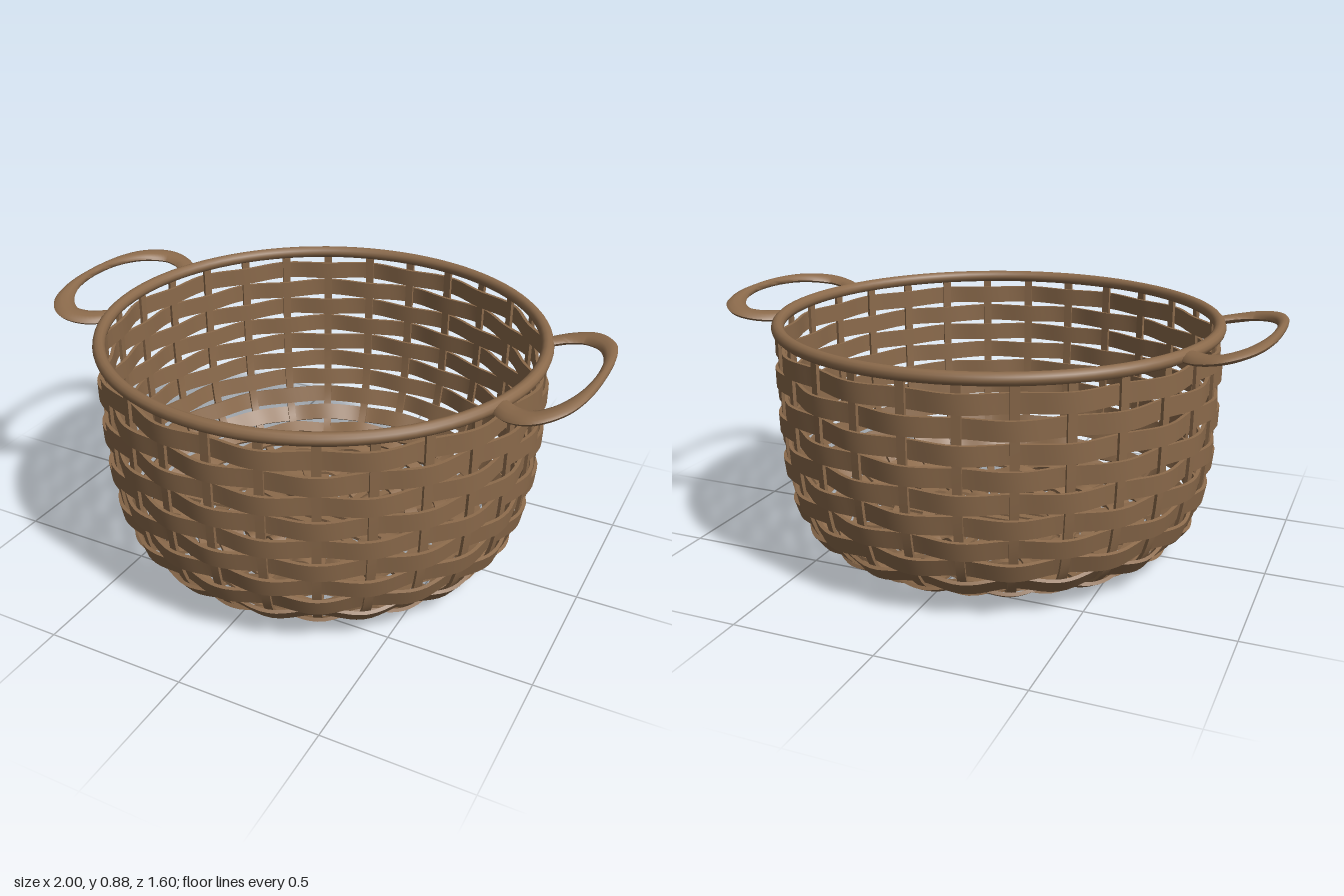
import * as THREE from 'three';
import { toCreasedNormals } from 'three/addons/utils/BufferGeometryUtils.js';

const STAKES = 28;
const STEP = (Math.PI * 2) / STAKES;
const V = (x, y, z) => new THREE.Vector3(x, y, z);

// cross-sections, in units of half width and half thickness
const FLAT = [[-1, -1], [1, -1], [1, 1], [-1, 1]];
const ROUND = Array.from({ length: 10 }, (_, i) => [Math.cos(i * Math.PI / 5), Math.sin(i * Math.PI / 5)]);

// sweeps a section along points; normals give the thickness direction
function sweep(points, normals, section, width, thick, closed) {
  const n = points.length, m = section.length, pos = [], idx = [];
  points.forEach((p, i) => {
    const a = points[closed ? (i + n - 1) % n : Math.max(i - 1, 0)];
    const b = points[closed ? (i + 1) % n : Math.min(i + 1, n - 1)];
    const t = b.clone().sub(a).normalize();
    const u = normals[i].clone().cross(t).normalize();
    const v = t.clone().cross(u);
    for (const [x, y] of section) {
      const q = p.clone().addScaledVector(u, x * width(p)).addScaledVector(v, y * thick);
      pos.push(q.x, q.y, q.z);
    }
  });
  for (let i = 0; i < (closed ? n : n - 1); i++) {
    for (let j = 0; j < m; j++) {
      const k = (j + 1) % m, r = i * m, s = ((i + 1) % n) * m;
      idx.push(r + j, r + k, s + k, r + j, s + k, s + j);
    }
  }
  if (!closed) {
    const e = (n - 1) * m;
    for (let j = 1; j < m - 1; j++) idx.push(0, j + 1, j, e, e + j, e + j + 1);
  }
  const g = new THREE.BufferGeometry();
  g.setAttribute('position', new THREE.Float32BufferAttribute(pos, 3));
  g.setIndex(idx);
  return toCreasedNormals(g, 0.9);
}

export function createModel() {
  const group = new THREE.Group();
  const wicker = new THREE.MeshStandardMaterial({ color: 0x8b6a4b });
  wicker.name = 'wicker brown';
  const add = (geometry, name) => {
    const mesh = new THREE.Mesh(geometry, wicker);
    mesh.name = name;
    group.add(mesh);
    return mesh;
  };

  // bowl profile: x is the radius
  const profile = new THREE.CatmullRomCurve3([
    [0.19, 0.018], [0.32, 0.02], [0.46, 0.027], [0.58, 0.042], [0.66, 0.08], [0.712, 0.14],
    [0.742, 0.22], [0.762, 0.33], [0.772, 0.48], [0.775, 0.65], [0.775, 0.82],
  ].map(([r, y]) => V(r, y, 0)));
  const length = profile.getLength();
  const around = (r, y, a) => V(r * Math.cos(a), y, r * Math.sin(a));

  // weavers: flat bands passing over and under the stakes, from the rim to the floor
  const segments = STAKES * 6;
  let row = 0;
  for (let s = length - 0.075; s > 0.015; row++) {
    const p = profile.getPointAt(s / length), t = profile.getTangentAt(s / length);
    const points = [], normals = [];
    for (let i = 0; i < segments; i++) {
      const a = (i / segments) * Math.PI * 2;
      const d = 0.012 * Math.cos(a * STAKES / 2 + row * Math.PI);
      points.push(around(p.x + d * t.y, p.y - d * t.x, a));
      normals.push(around(t.y, -t.x, a));
    }
    const half = row < 9 ? 0.0325 : 0.0245;
    add(sweep(points, normals, FLAT, () => half, 0.006, true), row < 9 ? 'wallWeaver' : 'floorWeaver');
    s -= row < 8 ? 0.0805 : row === 8 ? 0.071 : 0.061;
  }

  // stakes: two crossed sets of seven, bent up both sides to the rim
  for (const crosswise of [false, true]) {
    for (let j = -3; j <= 3; j++) {
      const layer = 0.018 + (crosswise ? -0.006 : 0.006);
      const half = [0.05, 0.1, 0.14].map((x) => [V(x, layer, j * 0.045), V(0, -1, 0)]);
      for (let i = 2; i <= 36; i++) {
        const p = profile.getPointAt(i / 36), t = profile.getTangentAt(i / 36);
        half.push([around(p.x, p.y, j * STEP), around(t.y, -t.x, j * STEP)]);
      }
      const mirrored = half.map((f) => f.map((v) => V(-v.x, v.y, v.z))).reverse();
      const path = [...mirrored, ...half].map((f) => f.map((v) => (crosswise ? V(v.z, v.y, v.x) : v)));
      add(sweep(path.map((f) => f[0]), path.map((f) => f[1]), FLAT, () => 0.015, 0.006, false), 'stake');
    }
  }

  // rim
  const rim = add(new THREE.TorusGeometry(0.776, 0.022, 12, 84), 'rim');
  rim.rotation.x = Math.PI / 2;
  rim.position.y = 0.822;

  // handles: upswept loops, broad at the ends and slim at the outside
  const bend = [[0.735, 0.822, 0.255], [0.795, 0.826, 0.306], [0.86, 0.836, 0.318],
    [0.925, 0.849, 0.265], [0.968, 0.86, 0.16]];
  for (const side of [1, -1]) {
    const loop = [...bend, [0.984, 0.865, 0], ...bend.map(([x, y, z]) => [x, y, -z]).reverse()];
    const points = new THREE.CatmullRomCurve3(loop.map(([x, y, z]) => V(x * side, y, z))).getPoints(60);
    const normals = points.map(() => V(-0.25 * side, 1, 0).normalize());
    const width = (p) => 0.015 + 0.03 * (p.z / 0.318) ** 2;
    add(sweep(points, normals, ROUND, width, 0.015, false), side > 0 ? 'leftHandle' : 'rightHandle');
  }
  return group;
}
